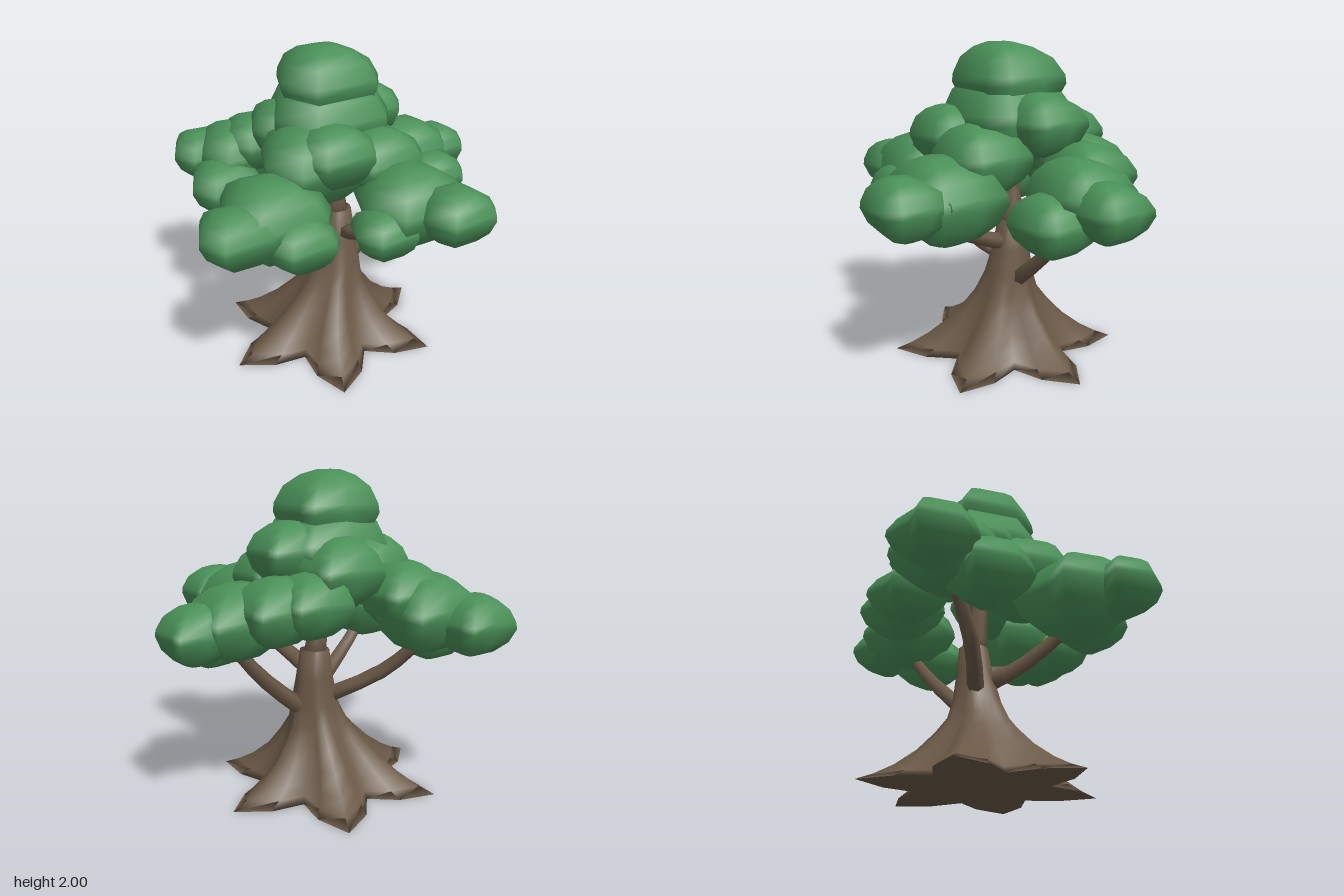
import * as THREE from 'three';
import { mergeVertices } from 'three/addons/utils/BufferGeometryUtils.js';

const V = (x, y, z) => new THREE.Vector3(x, y, z);

// Skin a stack of equal-length rings (arrays of Vector3), closed at both ends.
function loft(rings) {
  const n = rings[0].length, last = rings.length - 1, pos = [], idx = [];
  rings.flat().forEach(p => pos.push(p.x, p.y, p.z));
  for (let r = 0; r < last; r++)
    for (let i = 0; i < n; i++) {
      const j = (i + 1) % n, a = r * n + i, b = r * n + j;
      idx.push(a, a + n, b, b, a + n, b + n);
    }
  for (const r of [0, last]) {
    const c = rings[r].reduce((s, p) => s.add(p), V(0, 0, 0)).divideScalar(n);
    const k = pos.length / 3;
    pos.push(c.x, c.y, c.z);
    for (let i = 0; i < n; i++) {
      const a = r * n + i, b = r * n + (i + 1) % n;
      if (r === 0) idx.push(k, a, b); else idx.push(k, b, a);
    }
  }
  let g = new THREE.BufferGeometry();
  g.setAttribute('position', new THREE.Float32BufferAttribute(pos, 3));
  g.setIndex(idx);
  g = mergeVertices(g);
  g.computeVertexNormals();
  return g;
}

// Leaf clump: a lopsided eight-sided plan, rounded and leaning forward towards the top.
function clumpGeometry() {
  const plan = [[-1, -0.67], [-0.37, -0.72], [0.36, -1.14], [0.57, -0.67],
    [1, 0.07], [0.87, 0.57], [-0.37, 1.12], [-1, 0.47]];
  const levels = [[-1, 0.22, 0.6, 0], [-0.82, 0.56, 0.4, 0], [-0.45, 0.86, 0.15, 0], [0, 1, 0, 0],
    [0.22, 0.98, 0, 0], [0.62, 0.83, 0.15, 0.04], [0.88, 0.55, 0.4, 0.1],
    [1, 0.25, 0.6, 0.15]]; // height, size, roundness, lean
  const rings = levels.map(([y, s, k, lean]) => plan.map(([x, z]) => {
    const q = THREE.MathUtils.lerp(1, 1 / Math.hypot(x, z), k);
    return V(x * q * s - lean, y * 0.81, z * q * s + lean);
  }));
  return loft(rings);
}

// Tapering six-sided limb along a path.
function limbGeometry(points, r0, r1) {
  const curve = new THREE.CatmullRomCurve3(points.map(p => V(...p)));
  const rings = [], steps = 5;
  for (let s = 0; s <= steps; s++) {
    const t = s / steps, c = curve.getPoint(t), T = curve.getTangent(t);
    const u = V(0.3, 0, 1).cross(T).normalize(), v = u.clone().cross(T);
    const r = r0 + (r1 - r0) * t;
    rings.push(Array.from({ length: 6 }, (_, i) => {
      const a = i * Math.PI / 3;
      return c.clone().addScaledVector(u, r * Math.cos(a)).addScaledVector(v, r * Math.sin(a));
    }));
  }
  return loft(rings);
}

export function createModel() {
  const tree = new THREE.Group();
  tree.name = 'tree';
  const bark = new THREE.MeshStandardMaterial({ color: 0x6b5947 });
  bark.name = 'bark brown';
  const leaf = new THREE.MeshStandardMaterial({ color: 0x4a9058 });
  leaf.name = 'leaf green';
  const add = (name, geo, mat, parent = tree) => {
    const m = new THREE.Mesh(geo, mat);
    m.name = name;
    parent.add(m);
    return m;
  };

  // Trunk flaring into six pointed roots: y, ridge radius, valley radius, centre x, centre z
  const trunk = [
    [0, 0.73, 0.40, -0.04, -0.07], [0.04, 0.63, 0.37, -0.04, -0.07], [0.1, 0.52, 0.33, -0.04, -0.07],
    [0.2, 0.39, 0.27, -0.03, -0.07], [0.32, 0.28, 0.215, -0.01, -0.07],
    [0.42, 0.205, 0.175, 0.005, -0.07], [0.55, 0.155, 0.145, 0.03, -0.08],
    [0.72, 0.12, 0.115, 0.035, -0.095], [0.9, 0.095, 0.09, 0.035, -0.105]];
  const trunkRings = trunk.map(([y, tip, dip, cx, cz]) =>
    Array.from({ length: 24 }, (_, i) => {
      const a = i * Math.PI / 12 + Math.PI / 2;
      const r = [tip, (tip + dip) / 2, dip, (tip + dip) / 2][i % 4];
      return V(cx + r * Math.cos(a), y, cz + r * Math.sin(a));
    }));
  add('trunk', loft(trunkRings), bark);
  add('upperTrunk', limbGeometry([[0.035, 0.86, -0.105], [0.0, 1.12, -0.09], [-0.02, 1.45, -0.08]], 0.08, 0.045), bark);

  // Four main branches
  const branches = {
    frontRightBranch: [[-0.01, 0.66, -0.03], [-0.14, 0.74, 0.13], [-0.3, 0.88, 0.3], [-0.45, 1.05, 0.46]],
    frontLeftBranch: [[0.07, 0.76, -0.03], [0.16, 0.82, 0.12], [0.3, 0.92, 0.3], [0.45, 1.08, 0.45]],
    backLeftBranch: [[0.13, 0.53, -0.13], [0.32, 0.71, -0.23], [0.47, 0.89, -0.32], [0.6, 1.08, -0.4]],
    backRightBranch: [[-0.06, 0.6, -0.12], [-0.33, 0.75, -0.23], [-0.47, 0.89, -0.33], [-0.6, 1.08, -0.45]],
  };
  for (const [name, path] of Object.entries(branches)) add(name, limbGeometry(path, 0.055, 0.035), bark);

  // Foliage clumps: x, y, z, radius
  const clumps = {
    crown: [[-0.02, 1.757, -0.08, 0.3], [-0.01, 1.53, -0.08, 0.355], [0.23, 1.53, -0.25, 0.23],
      [-0.03, 1.425, 0.26, 0.24], [-0.14, 1.34, 0.16, 0.31], [-0.25, 1.44, -0.2, 0.24],
      [-0.04, 1.43, -0.39, 0.25], [0.26, 1.33, 0.12, 0.26]],
    backLeftFoliage: [[0.34, 1.24, -0.51, 0.24], [0.14, 1.27, -0.52, 0.23], [0.78, 1.13, -0.51, 0.21],
      [0.56, 1.17, -0.41, 0.27], [0.69, 1.04, -0.22, 0.22]],
    backRightFoliage: [[-0.79, 1.14, -0.6, 0.215], [-0.54, 1.19, -0.46, 0.28],
      [-0.42, 1.29, -0.4, 0.24], [-0.66, 1.04, -0.25, 0.23]],
    frontRightFoliage: [[-0.62, 1.12, 0.6, 0.22], [-0.4, 1.12, 0.4, 0.32], [-0.27, 1.03, 0.56, 0.21]],
    frontLeftFoliage: [[0.62, 1.15, 0.58, 0.22], [0.41, 1.13, 0.35, 0.315], [0.22, 1.04, 0.54, 0.19]],
  };
  const clumpGeo = clumpGeometry();
  for (const [name, list] of Object.entries(clumps)) {
    const g = new THREE.Group();
    g.name = name;
    tree.add(g);
    for (const [x, y, z, r] of list) {
      const m = add('leafClump', clumpGeo, leaf, g);
      m.position.set(x, y, z);
      m.scale.setScalar(r);
    }
  }
  return tree;
}
